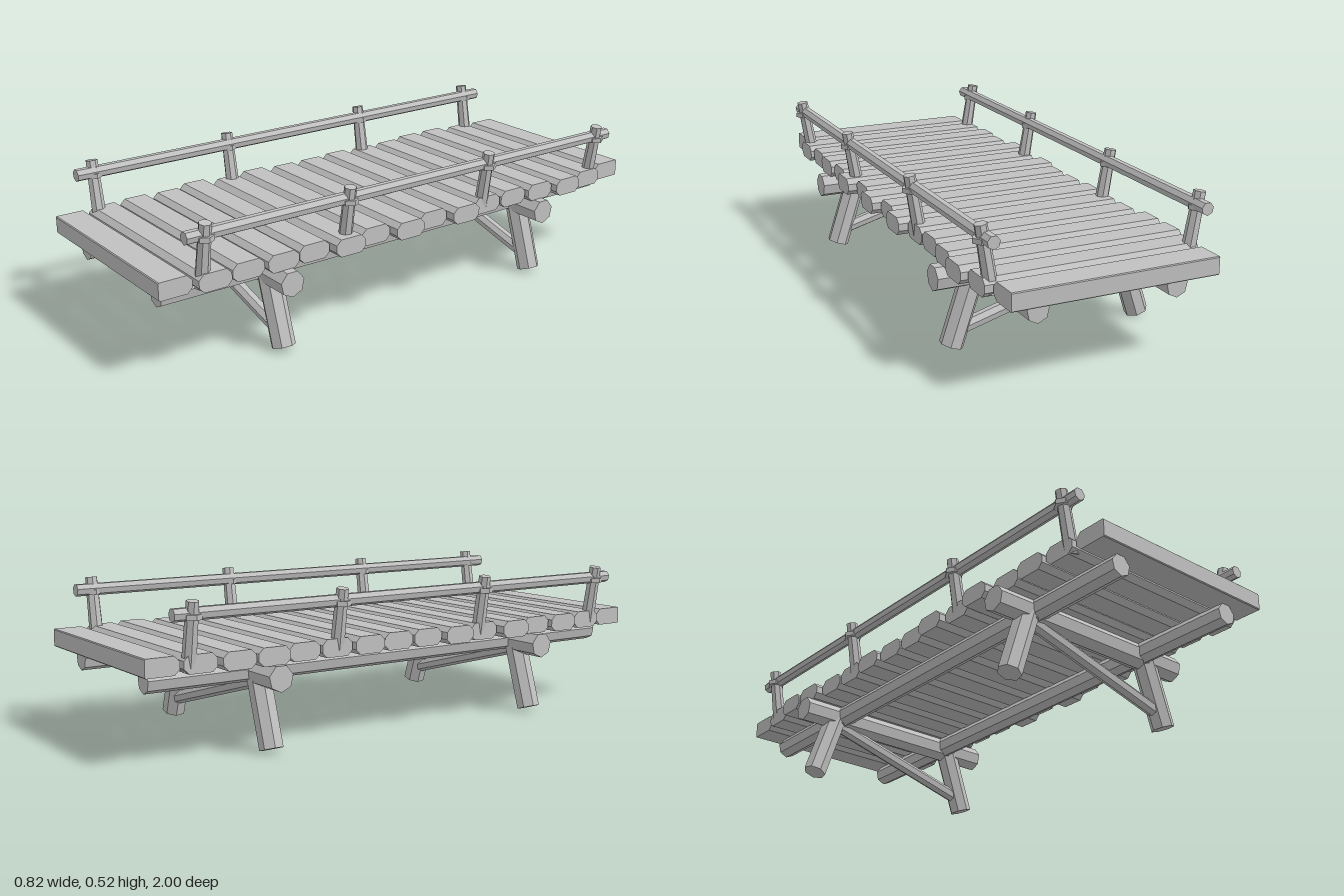
import * as THREE from 'three';

const wood = new THREE.MeshStandardMaterial({ color: 0xc0c0c0 });
const UP = new THREE.Vector3(0, 1, 0);

// Faceted mesh: every face gets its own normal
function facet(geometry, name) {
  const g = geometry.index ? geometry.toNonIndexed() : geometry;
  g.computeVertexNormals();
  const mesh = new THREE.Mesh(g, wood);
  mesh.name = name;
  return mesh;
}

// Rough-hewn log running from point a to point b
function log(name, a, b, ra, rb = ra, twist = 0, sides = 7) {
  const start = new THREE.Vector3(...a), end = new THREE.Vector3(...b);
  const dir = end.clone().sub(start);
  const mesh = facet(new THREE.CylinderGeometry(rb, ra, dir.length(), sides, 1, false, twist), name);
  mesh.position.copy(start).add(end).multiplyScalar(0.5);
  mesh.quaternion.setFromUnitVectors(UP, dir.normalize());
  return mesh;
}

// Plank across x with chamfered edges; cBack and cFront are the chamfers on each side
function plank(z, x0, x1, cBack, cFront) {
  const w = 0.0585, y0 = 0.294, y1 = 0.355;
  const shape = new THREE.Shape([
    [-w + cFront, y0], [w - cBack, y0], [w, y0 + cBack], [w, y1 - cBack],
    [w - cBack, y1], [-w + cFront, y1], [-w, y1 - cFront], [-w, y0 + cFront],
  ].map(p => new THREE.Vector2(...p)));
  const g = new THREE.ExtrudeGeometry(shape, { depth: x1 - x0, bevelEnabled: false });
  g.rotateY(Math.PI / 2);
  const mesh = facet(g, 'plank');
  mesh.position.set(x0, 0, z);
  return mesh;
}

export function createModel() {
  const model = new THREE.Group();
  model.name = 'footbridge';

  // Deck: sixteen planks with uneven ends
  const rightEnds = [0.36, 0.37, 0.39, 0.39, 0.37, 0.37, 0.38, 0.37, 0.37, 0.39, 0.37, 0.4, 0.37, 0.38, 0.37, 0.36];
  const leftEnds = [0.355, 0.38, 0.4, 0.38, 0.37, 0.37, 0.4, 0.37, 0.4, 0.37, 0.4, 0.37, 0.38, 0.37, 0.38, 0.355];
  const deck = new THREE.Group();
  deck.name = 'deck';
  for (let i = 0; i < 16; i++) {
    const z = -0.9405 + i * 0.1254;
    deck.add(plank(z, -rightEnds[i], leftEnds[i], i === 0 ? 0.003 : 0.018, i === 15 ? 0.003 : 0.018));
  }
  model.add(deck);

  // Long beams under the deck
  for (const s of [-1, 1]) {
    model.add(log('longBeam', [s * 0.242, 0.26, -0.95], [s * 0.242, 0.26, 0.95], 0.038));
  }

  // Two trestles: cross beam, splayed legs and a diagonal brace
  for (const z of [-0.555, 0.553]) {
    const trestle = new THREE.Group();
    trestle.name = 'trestle';
    trestle.position.z = z;
    trestle.add(log('crossBeam', [-0.412, 0.255, 0], [0.41, 0.255, 0], 0.045, 0.045, Math.PI / 2));
    for (const s of [-1, 1]) {
      trestle.add(log('leg', [s * 0.348, 0.0145, 0], [s * 0.268, 0.255, 0], 0.041));
    }
    trestle.add(log('brace', [-0.275, 0.232, 0], [0.325, 0.066, 0], 0.024, 0.024, Math.PI / 2));
    model.add(trestle);
  }

  // Railings: leaning posts, binding collars and a rail on each side
  for (const s of [-1, 1]) {
    const railing = new THREE.Group();
    railing.name = s > 0 ? 'leftRailing' : 'rightRailing';
    for (const z of [-0.845, -0.301, 0.303, 0.845]) {
      railing.add(log('post', [s * 0.344, 0.3, z], [s * 0.381, 0.521, z], 0.025, 0.021));
      const collar = log('collar', [s * 0.374, 0.463, z], [s * 0.374, 0.48, z], 0.033, 0.033, Math.PI / 2, 6);
      collar.scale.z = 0.95;
      railing.add(collar);
    }
    railing.add(log('rail', [s * 0.368, 0.48, -0.91], [s * 0.368, 0.481, 0.912], 0.022));
    model.add(railing);
  }

  return model;
}
